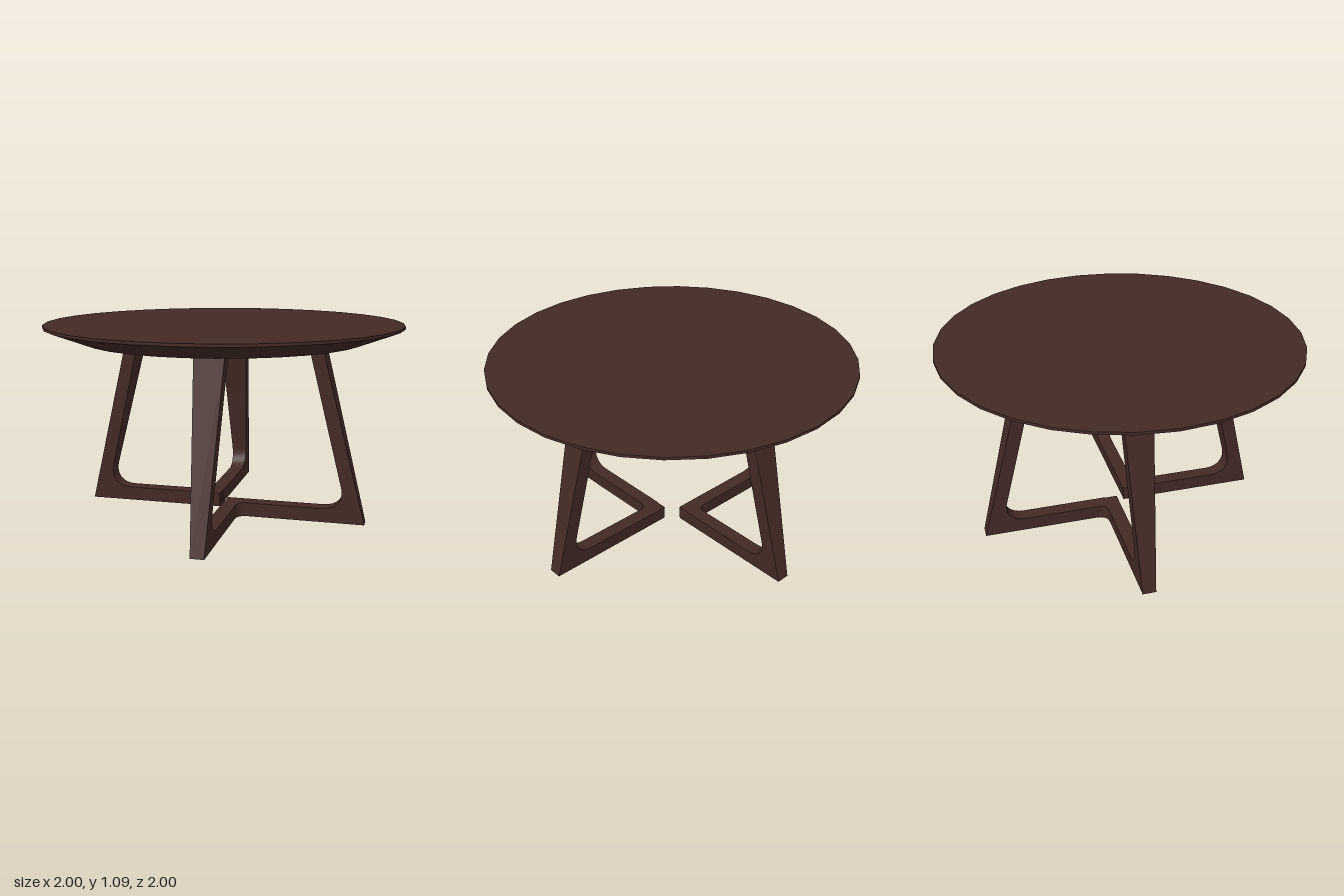
import * as THREE from 'three';
import { toCreasedNormals } from 'three/addons/utils/BufferGeometryUtils.js';

const wood = new THREE.MeshStandardMaterial({ color: 0x432a24 });
const OFFSET = 0.07; // distance of each frame's mid-plane from the axis
const TOP = 0.995;   // underside of the table top

function part(name, geometry) {
  const mesh = new THREE.Mesh(geometry, wood);
  mesh.name = name;
  return mesh;
}

// Foot bar and slanted leg in one profile; the plate grows thicker with height
function legGeometry(start) {
  const s = new THREE.Shape();
  s.moveTo(start, 0);
  s.lineTo(0.825, 0);
  s.lineTo(0.578, TOP);
  s.lineTo(0.504, TOP);
  s.lineTo(0.695, 0.2);
  s.bezierCurveTo(0.708, 0.13, 0.665, 0.08, 0.59, 0.08);
  s.lineTo(start, 0.08);
  s.closePath();
  const g = new THREE.ExtrudeGeometry(s, { depth: 2, bevelEnabled: false, curveSegments: 8 });
  g.translate(0, 0, -1);
  const p = g.attributes.position;
  for (let i = 0; i < p.count; i++) p.setZ(i, p.getZ(i) * (0.037 + 0.0455 * p.getY(i)));
  return toCreasedNormals(g, 0.6);
}

// Rounded infill in the inner corner between two foot bars
function filletGeometry() {
  const a = 0.1, b = 0.108, r = 0.06;
  const s = new THREE.Shape();
  s.moveTo(a, a);
  s.lineTo(b + r, a);
  s.lineTo(b + r, b);
  s.quadraticCurveTo(b, b, b, b + r);
  s.lineTo(a, b + r);
  s.closePath();
  const g = new THREE.ExtrudeGeometry(s, { depth: 0.08, bevelEnabled: false, curveSegments: 6 });
  g.rotateX(Math.PI / 2); // shape y becomes z, depth runs down
  g.translate(0, 0.08, 0);
  return toCreasedNormals(g, 0.6);
}

// One L-shaped frame: two legs at right angles, joined at the middle
function createFrame(name) {
  const frame = new THREE.Group();
  frame.name = name;
  const sideLeg = part('sideLeg', legGeometry(0.033));
  sideLeg.position.z = OFFSET;
  const endLeg = part('endLeg', legGeometry(0.1));
  endLeg.rotation.y = -Math.PI / 2;
  endLeg.position.x = OFFSET;
  frame.add(sideLeg, endLeg, part('cornerFillet', filletGeometry()));
  return frame;
}

// Round top: flat surface, thin rim and softly shaded sloping underside
function createTop() {
  const top = new THREE.Group();
  top.name = 'tableTop';
  const bands = {
    underside: [[0, 0.993], [0.78, 0.993], [1, 1.075]],
    rim: [[1, 1.075], [1, 1.09]],
    surface: [[1, 1.09], [0, 1.09]],
  };
  for (const [name, points] of Object.entries(bands)) {
    const profile = points.map(([x, y]) => new THREE.Vector2(x, y));
    top.add(part(name, new THREE.LatheGeometry(profile, 32)));
  }
  return top;
}

export function createModel() {
  const table = new THREE.Group();
  table.name = 'roundTable';
  const front = createFrame('frontFrame');
  const back = createFrame('backFrame');
  back.rotation.y = Math.PI;
  table.add(createTop(), front, back);
  return table;
}
